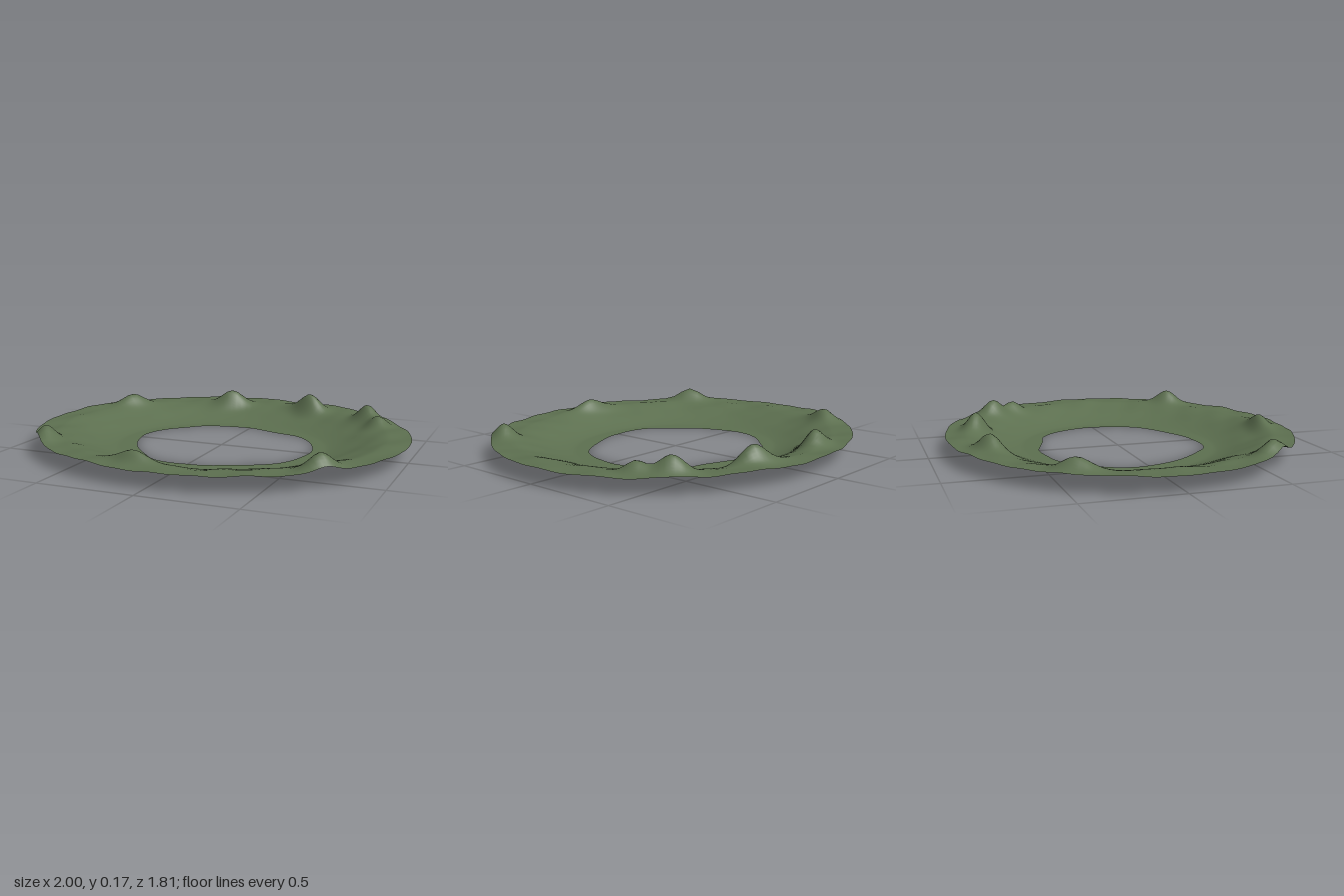
import * as THREE from 'three';

// Outline of the central hole as (x, z), walking from +x towards +z
const HOLE = [
  [0.49, -0.03], [0.48, 0.06], [0.45, 0.17], [0.4, 0.25], [0.32, 0.31], [0.2, 0.37],
  [0.08, 0.42], [0, 0.43], [-0.1, 0.435], [-0.2, 0.41], [-0.28, 0.34], [-0.4, 0.2],
  [-0.46, 0.07], [-0.485, -0.07], [-0.44, -0.2], [-0.35, -0.3], [-0.25, -0.39],
  [-0.15, -0.415], [0, -0.43], [0.1, -0.4], [0.2, -0.365], [0.3, -0.34],
  [0.38, -0.28], [0.45, -0.17],
];

// Hills: x, z, added height, radial width, sideways width
const HILLS = [
  [-0.23, -0.72, 0.085, 0.06, 0.09],
  [0.27, -0.71, 0.095, 0.06, 0.09],
  [0.66, -0.55, 0.08, 0.06, 0.08],
  [0.75, -0.42, 0.05, 0.06, 0.06],
  [-0.77, -0.44, 0.065, 0.06, 0.09],
  [-0.12, 0.77, 0.06, 0.05, 0.11],
  [0.71, 0.55, 0.07, 0.06, 0.08],
  [-0.75, 0.53, 0.075, 0.06, 0.09],
];

const DEPTH = 0.905; // half depth of the oval rim

// Ground height: flat floor, rising bank, rolling rim with hills
function groundHeight(x, z) {
  const t = Math.hypot(x, z / DEPTH);
  const bank = THREE.MathUtils.clamp((t - 0.56) / 0.32, 0, 1);
  let y = 0.083 * (0.5 * bank + 0.5 * bank * bank * (3 - 2 * bank));
  const rough = THREE.MathUtils.smoothstep(t, 0.6, 0.85);
  y += rough * (0.005 * Math.sin(11 * x + 5 * z + 1) * Math.cos(13 * z - 4 * x)
    + 0.003 * Math.sin(27 * x - 9 * z) * Math.sin(23 * z + 8 * x + 2));
  for (const [hx, hz, height, radial, side] of HILLS) {
    const len = Math.hypot(hx, hz);
    const dx = x - hx, dz = z - hz;
    const out = (dx * hx + dz * hz) / len;
    const along = (dz * hx - dx * hz) / len;
    y += height * Math.exp(-((out / radial) ** 2) - (along / side) ** 2);
  }
  return Math.max(0, y);
}

export function createModel() {
  const group = new THREE.Group();
  group.name = 'terrainRing';
  const grass = new THREE.MeshStandardMaterial({ color: 0x5d7050, side: THREE.DoubleSide });
  grass.name = 'mossGreen';

  const hole = new THREE.CatmullRomCurve3(
    HOLE.map(([x, z]) => new THREE.Vector3(x, 0, z)), true);

  // Rings of vertices from the hole edge out to the oval rim
  const around = 192, rings = 40;
  const positions = [], indices = [];
  for (let i = 0; i <= rings; i++) {
    const f = i / rings;
    for (let j = 0; j < around; j++) {
      const p = hole.getPoint(j / around);
      const a = Math.atan2(p.z / DEPTH, p.x);
      const x = THREE.MathUtils.lerp(p.x, Math.cos(a), f);
      const z = THREE.MathUtils.lerp(p.z, DEPTH * Math.sin(a), f);
      positions.push(x, groundHeight(x, z), z);
    }
  }
  for (let i = 0; i < rings; i++) {
    for (let j = 0; j < around; j++) {
      const k = (j + 1) % around;
      const a = i * around + j, b = i * around + k;
      const c = a + around, d = b + around;
      indices.push(a, b, c, b, d, c);
    }
  }
  const geometry = new THREE.BufferGeometry();
  geometry.setAttribute('position', new THREE.Float32BufferAttribute(positions, 3));
  geometry.setIndex(indices);
  geometry.computeVertexNormals();

  const ground = new THREE.Mesh(geometry, grass);
  ground.name = 'hillyGround';
  group.add(ground);
  return group;
}
